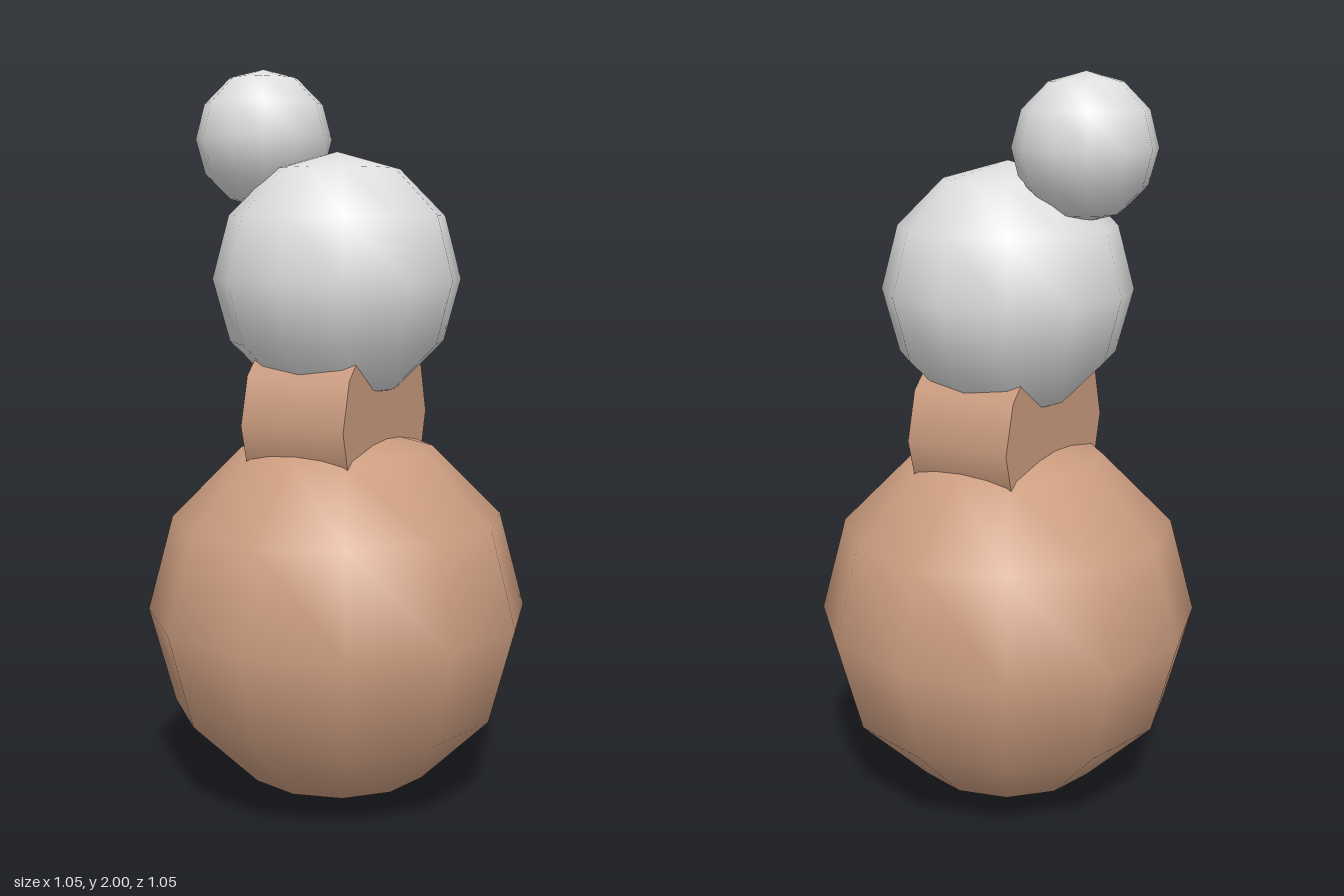
import * as THREE from 'three';

export function createModel() {
  const model = new THREE.Group();
  const tan = new THREE.MeshStandardMaterial({ color: 0xcb9c7f });
  tan.name = 'tan';
  const paleGrey = new THREE.MeshStandardMaterial({ color: 0xdedede });
  paleGrey.name = 'paleGrey';

  const add = (name, geometry, material, x, y) => {
    const mesh = new THREE.Mesh(geometry, material);
    mesh.name = name;
    mesh.position.set(x, y, 0);
    model.add(mesh);
  };
  // Coarse ball with smooth normals
  const ball = (r) => new THREE.SphereGeometry(r, 12, 6);

  // Stacked balls, with the small one off to the side
  add('body', ball(0.525), tan, 0, 0.528);
  add('head', ball(0.336), paleGrey, 0, 1.44);
  add('topBall', ball(0.186), paleGrey, -0.225, 1.814);

  // Neck: a twelve-sided drum lying along x, sunk into body and head
  const drum = new THREE.CylinderGeometry(0.262, 0.262, 0.3, 12).rotateZ(Math.PI / 2);
  add('neck', drum, tan, 0, 1.06);

  return model;
}
